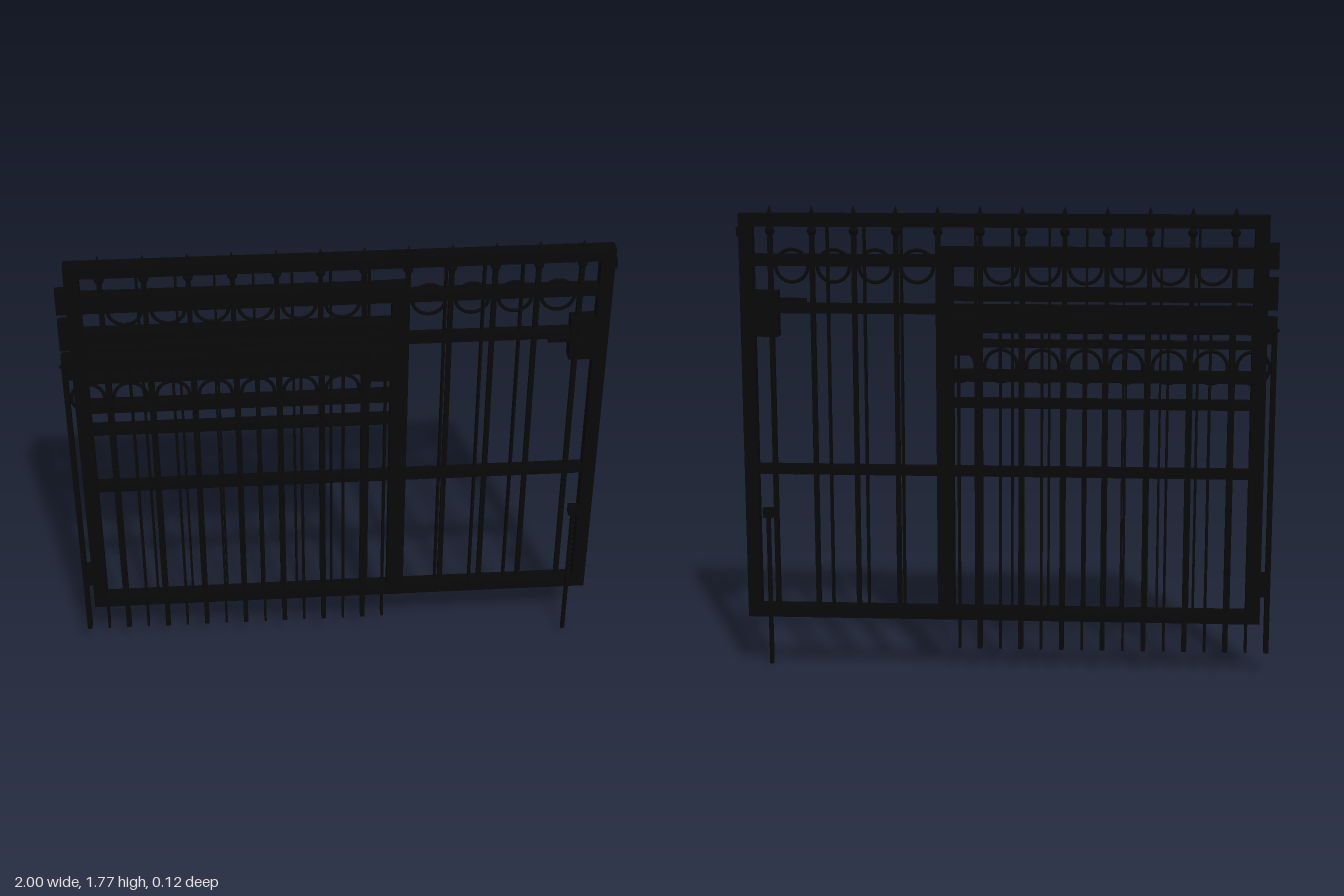
import * as THREE from 'three';

export function createModel() {
  const gate = new THREE.Group();
  gate.name = 'slidingGate';
  const iron = new THREE.MeshStandardMaterial({ color: 0x080808 });
  iron.name = 'blackIron';
  const Z = -0.028; // centre plane of the gate

  const add = (name, geo, x, y, z = Z) => {
    const m = new THREE.Mesh(geo, iron);
    m.name = name;
    m.position.set(x, y, z);
    gate.add(m);
    return m;
  };
  // box given by its extents in x and y
  const bar = (name, x0, x1, y0, y1, depth, z = Z) =>
    add(name, new THREE.BoxGeometry(x1 - x0, y1 - y0, depth), (x0 + x1) / 2, (y0 + y1) / 2, z);

  // outer frame
  bar('leftPost', -0.952, -0.9, 0.205, 1.74, 0.05);
  bar('rightPost', 0.94, 0.99, 0.205, 1.74, 0.05);
  bar('topRail', -0.9, 0.94, 1.692, 1.74, 0.05);
  bar('bottomRail', -0.9, 0.94, 0.205, 0.252, 0.05);
  bar('middlePost', 0.2, 0.262, 0.205, 1.62, 0.052);

  // full-width rails
  for (const [y0, y1] of [[0.762, 0.798], [1.372, 1.408], [1.547, 1.59]])
    bar('crossRail', -0.9, 0.94, y0, y1, 0.036);

  // rails of the short leaf
  for (const [y0, y1, d] of [[1.58, 1.62, 0.045], [1.422, 1.472, 0.045],
    [1.305, 1.37, 0.05], [1.25, 1.278, 0.036], [1.122, 1.165, 0.04], [1.022, 1.058, 0.036]])
    bar('leafRail', -0.9, 0.2, y0, y1, d);

  // spear-topped pickets with collar balls
  const ball = new THREE.SphereGeometry(0.018, 12, 8);
  const spear = new THREE.ConeGeometry(0.014, 0.045, 8);
  for (let i = 0; i < 12; i++) {
    const x = -0.83 + 0.1552 * i;
    bar('picket', x - 0.009, x + 0.009, 0.23, 1.72, 0.02);
    add('collarBall', ball, x, 1.675);
    add('spearTip', spear, x, 1.748);
  }

  // slender bars between the pickets
  for (let i = 0; i < 11; i++) {
    const x = 0.665 - 0.1366 * i;
    bar('slenderBar', x - 0.004, x + 0.004, 0.23, 1.71, 0.036);
  }

  // leaf pickets reaching below the bottom rail, alternating in width
  for (let i = 0; i < 16; i++) {
    const x = -0.98 + 0.0775 * i;
    const w = i % 2 ? 0.0045 : 0.009;
    bar('leafPicket', x - w, x + w, 0.09, 1.33, 0.038, -0.026);
  }

  // two rows of ornamental rings
  const ring = new THREE.TorusGeometry(0.06, 0.0065, 8, 32);
  for (let i = 0; i < 11; i++)
    if (i !== 6) add('upperRing', ring, -0.75 + 0.1548 * i, 1.547);
  for (let i = 0; i < 8; i++) add('lowerRing', ring, -0.905 + 0.155 * i, 1.18);

  // hinges on the left post
  for (const [y0, y1] of [[1.545, 1.64], [1.395, 1.515], [1.27, 1.37], [0.31, 0.4]])
    bar('hinge', -0.988, -0.95, y0, y1, 0.035);
  const pin = add('hingeTip', new THREE.ConeGeometry(0.03, 0.03, 12), -0.985, 1.32);
  pin.rotation.z = Math.PI / 2;
  bar('topBracket', 0.98, 1, 1.655, 1.69, 0.03);

  // lock boxes with lever handles on the front
  const handle = (x, y) => {
    const stem = add('handleStem', new THREE.CylinderGeometry(0.008, 0.008, 0.06, 12), x, y, 0.025);
    stem.rotation.x = Math.PI / 2;
    bar('handleLever', x - 0.122, x + 0.008, y - 0.009, y + 0.009, 0.012, 0.052);
  };
  bar('leafLockBox', 0.105, 0.205, 1.222, 1.37, 0.056);
  bar('gateLockBox', 0.85, 0.945, 1.285, 1.455, 0.056);
  handle(0.132, 1.345);
  handle(0.88, 1.408);

  // drop bolt
  add('dropBolt', new THREE.CylinderGeometry(0.009, 0.009, 0.6, 12), 0.916, 0.3, 0.009);
  bar('boltKeeper', 0.897, 0.935, 0.582, 0.618, 0.03, 0.007);

  return gate;
}
